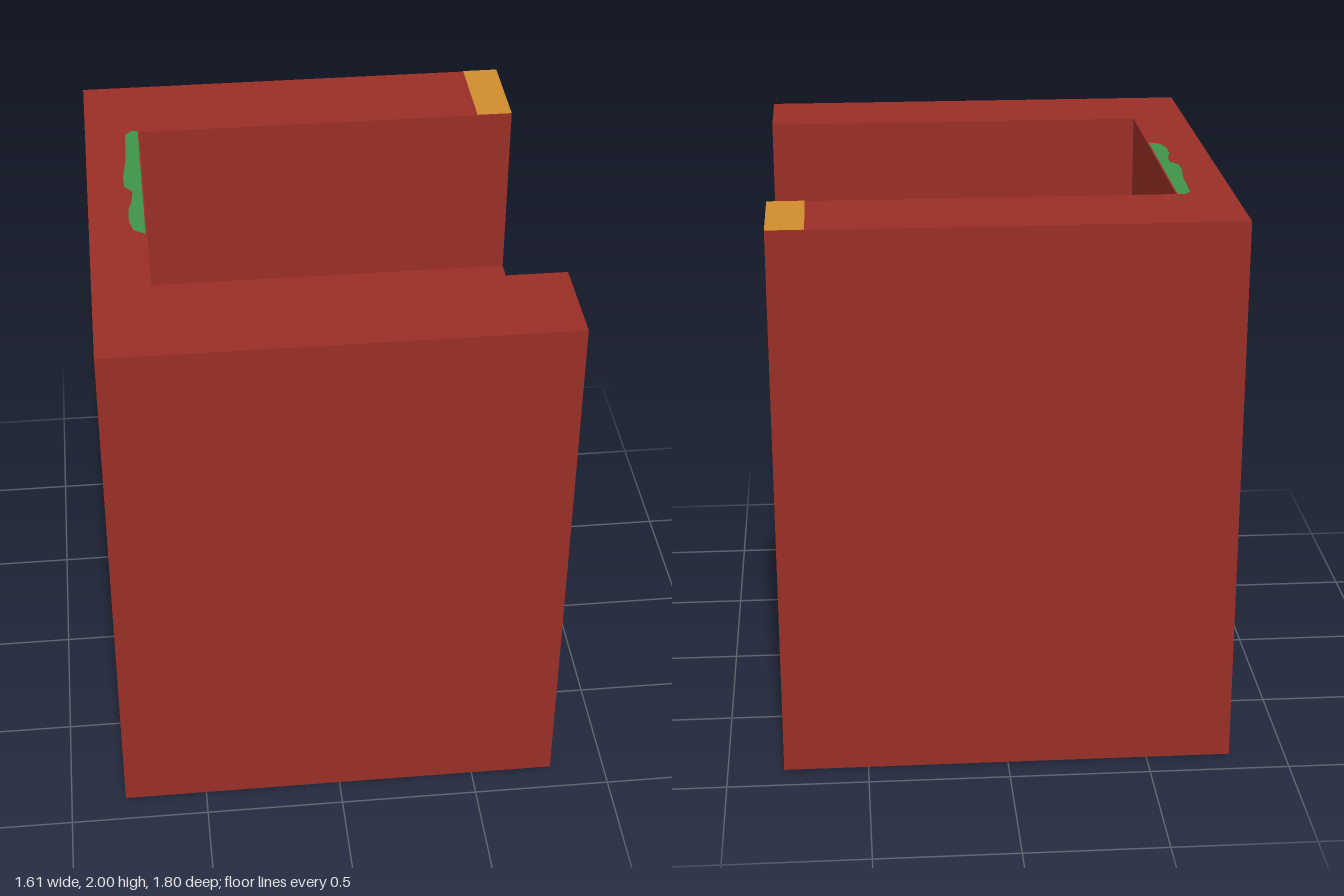
import * as THREE from 'three';

const mat = (name, color, extra = {}) => {
  const m = new THREE.MeshStandardMaterial({ color, ...extra });
  m.name = name;
  return m;
};

export function createModel() {
  const red = mat('brick red', 0x9a2f25);
  const orange = mat('wood orange', 0xd08d2f);
  const green = mat('leaf green', 0x3f9448);
  const root = new THREE.Group();
  root.name = 'storageBay';

  const add = (name, geometry, material, parent = root) => {
    const m = new THREE.Mesh(geometry, material);
    m.name = name;
    parent.add(m);
    return m;
  };

  // Box given by its limits on each axis
  const block = (name, [x0, x1], [y0, y1], [z0, z1], material, parent) => {
    const m = add(name, new THREE.BoxGeometry(x1 - x0, y1 - y0, z1 - z0), material, parent);
    m.position.set((x0 + x1) / 2, (y0 + y1) / 2, (z0 + z1) / 2);
    return m;
  };

  // Painted patch: points are [x,z] for top/bottom, [z,y] for left/right, [x,y] for back
  const faces = {
    top: { flip: [1, -1], rot: [-Math.PI / 2, 0], axis: 'y' },
    bottom: { flip: [1, 1], rot: [Math.PI / 2, 0], axis: 'y' },
    plusX: { flip: [-1, 1], rot: [0, Math.PI / 2], axis: 'x' },
    minusX: { flip: [1, 1], rot: [0, -Math.PI / 2], axis: 'x' },
    back: { flip: [-1, 1], rot: [0, Math.PI], axis: 'z' },
  };
  const patch = (name, face, at, points, material, parent) => {
    const { flip, rot, axis } = faces[face];
    const shape = new THREE.Shape(points.map(([a, b]) => new THREE.Vector2(a * flip[0], b * flip[1])));
    const m = add(name, new THREE.ShapeGeometry(shape), material, parent);
    m.rotation.set(rot[0], rot[1], 0);
    m.position[axis] = at;
    return m;
  };
  const rect = (a0, a1, b0, b1) => [[a0, b0], [a1, b0], [a1, b1], [a0, b1]];

  // U-shaped walls, open towards +x
  const plan = new THREE.Shape([
    [-0.8, -0.9], [0.8, -0.9], [0.8, -0.55], [-0.6, -0.55],
    [-0.6, 0.55], [0.8, 0.55], [0.8, 0.9], [-0.8, 0.9],
  ].map(([x, y]) => new THREE.Vector2(x, y)));
  const walls = new THREE.ExtrudeGeometry(plan, { depth: 1.995, bevelEnabled: false });
  walls.rotateX(-Math.PI / 2).translate(0, 0.003, 0);
  add('walls', walls, red);

  // Painted areas on the walls
  patch('wallEndTopPaint', 'top', 2, rect(0.67, 0.8, -0.9, -0.55), orange);
  patch('wallEndBasePaint', 'bottom', 0, rect(0.67, 0.8, -0.9, -0.55), orange);
  patch('wallEndPaint', 'plusX', 0.802, rect(0.55, 0.9, 0, 0.53), orange);
  patch('backWallTopPaint', 'top', 2, [
    [-0.605, -0.555], [-0.63, -0.56], [-0.652, -0.53], [-0.657, -0.35], [-0.67, -0.22],
    [-0.668, -0.16], [-0.64, -0.12], [-0.645, -0.06], [-0.658, 0], [-0.66, 0.08],
    [-0.645, 0.14], [-0.605, 0.165],
  ], green);
  patch('outerWallPaint', 'minusX', -0.802, [
    [-0.85, 0.88], [-0.82, 0.84], [-0.76, 0.82], [-0.68, 0.81], [-0.55, 0.83],
    [-0.55, 1.02], [-0.63, 1.05], [-0.7, 1.06], [-0.78, 1.05], [-0.85, 1],
  ], orange);
  patch('cornerBasePaint', 'bottom', 0, [
    [-0.8, 0.9], [-0.8, 0.55], [-0.55, 0.6], [-0.4, 0.61], [-0.34, 0.66], [-0.36, 0.78], [-0.34, 0.9],
  ], orange);

  // Shelf and plinth: only the face in the opening is orange
  const openFace = [orange, red, red, red, red, red];
  block('shelf', [-0.6, 0.8], [1.26, 1.32], [-0.55, 0.55], openFace);
  block('plinth', [-0.6, 0.803], [0.003, 0.62], [-0.45, 0.45], openFace);
  patch('plinthSidePaint', 'back', -0.452, rect(-0.36, -0.16, 0.004, 0.3), orange);

  // Pallet, turned slightly on the plinth
  const pallet = new THREE.Group();
  pallet.name = 'pallet';
  pallet.position.set(0.165, 0.62, 0);
  pallet.rotation.y = 0.02;
  root.add(pallet);

  const greenTop = [orange, orange, green, orange, orange, orange];
  const half = 0.6;
  // Five deck boards
  for (const [z0, z1] of [[-0.395, -0.284], [-0.235, -0.112], [-0.062, 0.062], [0.112, 0.235], [0.284, 0.395]]) {
    block('deckBoard', [-half, half], [0.122, 0.144], [z0, z1], greenTop, pallet);
  }
  // Three cross boards under the deck, with three feet each
  for (const x of [-0.53, 0, 0.53]) {
    block('crossBoard', [x - 0.07, x + 0.07], [0.1, 0.122], [-0.395, 0.395], orange, pallet);
    for (const [z, w] of [[-0.348, 0.045], [0, 0.055], [0.348, 0.045]]) {
      block('foot', [x - 0.07, x + 0.07], [0.022, 0.1], [z - w, z + w], orange, pallet);
    }
  }
  // Bottom runners
  for (const [z, w] of [[-0.348, 0.045], [0, 0.055], [0.348, 0.045]]) {
    block('runner', [-half, half], [0.001, 0.022], [z - w, z + w], orange, pallet);
  }
  patch('footPaint', 'plusX', 0.602, rect(0.303, 0.393, 0.022, 0.065), red, pallet);

  return root;
}
